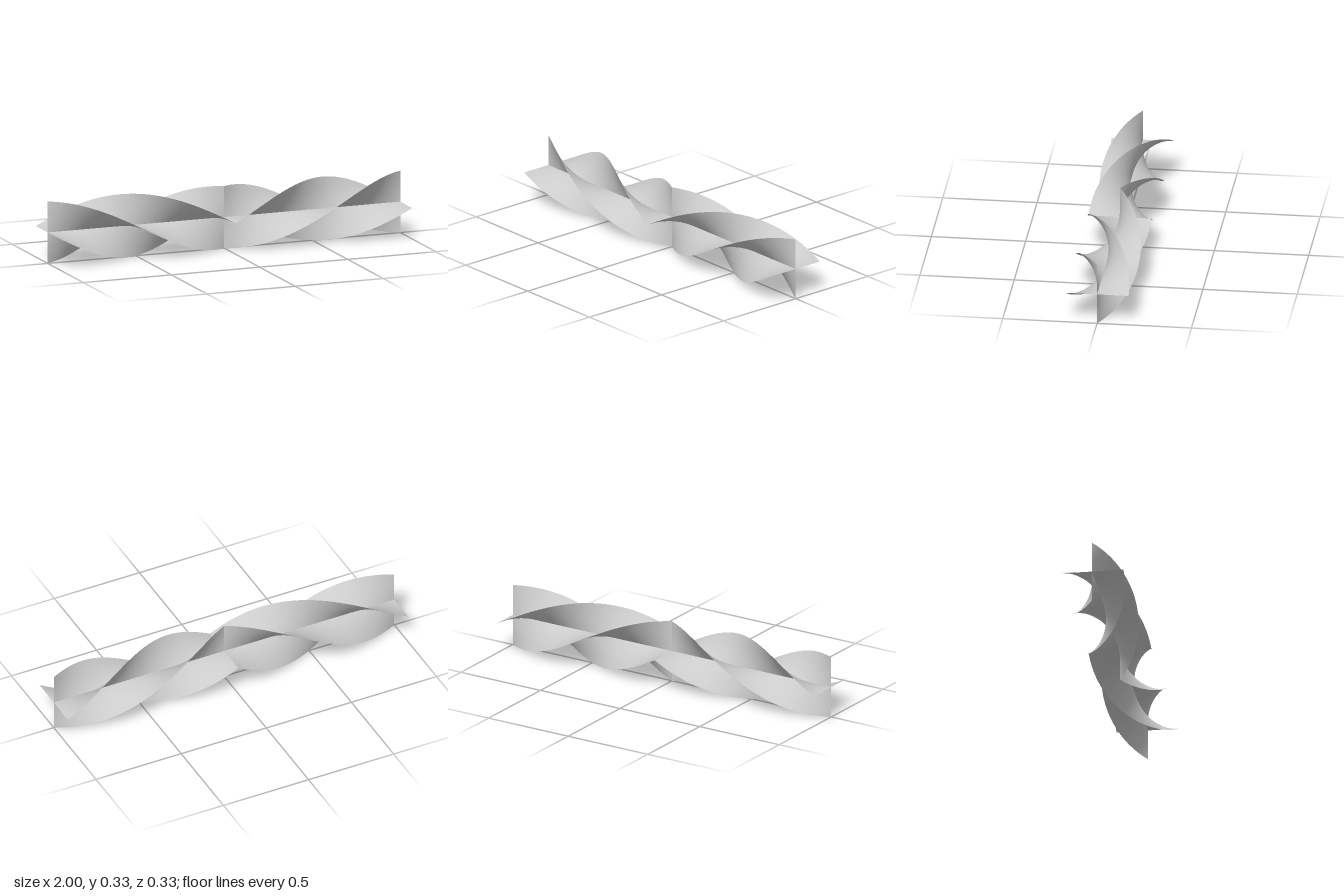
import * as THREE from 'three';

const R = 0.167; // blade radius, also the height of the axis

// A flat strip twisted by half a turn between one end and the middle.
function twistedBlade(side, startAngle) {
  const geo = new THREE.PlaneGeometry(1, 2 * R, 48, 8);
  const p = geo.attributes.position;
  for (let i = 0; i < p.count; i++) {
    const x = p.getX(i) + side * 0.5;
    const r = p.getY(i);
    const a = startAngle + (1 - Math.abs(x)) * Math.PI;
    p.setXYZ(i, x, R + r * Math.cos(a), r * Math.sin(a));
  }
  geo.computeVertexNormals();
  return geo;
}

export function createModel() {
  const group = new THREE.Group();
  group.name = 'twistedCross';
  const material = new THREE.MeshStandardMaterial({ color: 0xcccccc, side: THREE.DoubleSide });

  // Two crossing strips per half; the twist reverses at the middle.
  for (const side of [-1, 1]) {
    const half = new THREE.Group();
    half.name = side < 0 ? 'rightHalf' : 'leftHalf';
    for (const [name, angle] of [['uprightBlade', 0], ['levelBlade', Math.PI / 2]]) {
      const blade = new THREE.Mesh(twistedBlade(side, angle), material);
      blade.name = name;
      half.add(blade);
    }
    group.add(half);
  }
  return group;
}
